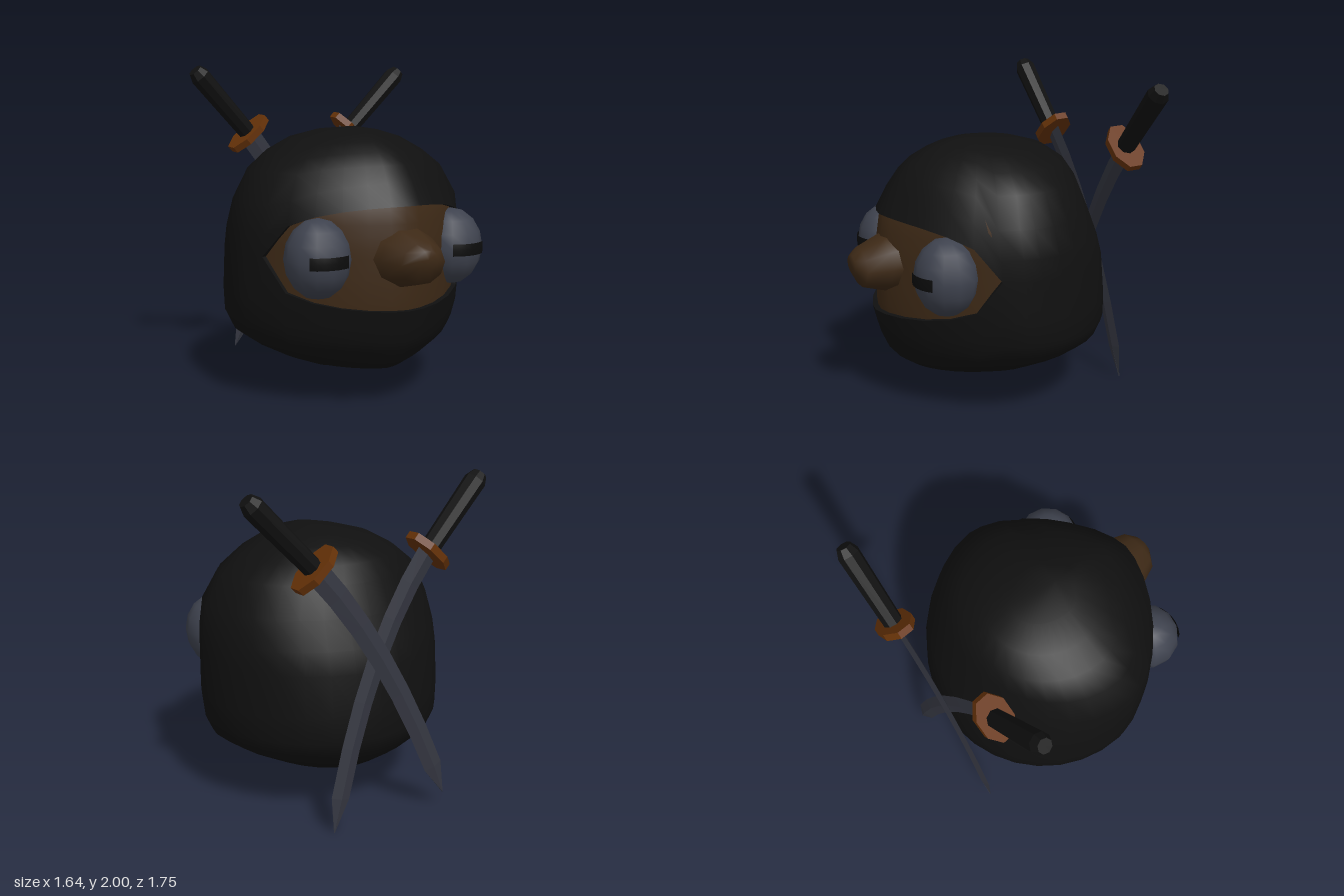
import * as THREE from 'three';
import { mergeVertices, mergeGeometries } from 'three/addons/utils/BufferGeometryUtils.js';

const CX = -0.06; // the head sits slightly off centre
const mat = (color, extra = {}) => new THREE.MeshStandardMaterial({ color, roughness: 0.9, ...extra });

// Surface through a grid of points: fn(row, column) returns [x, y, z]
function grid(rows, cols, fn) {
  const pos = [], index = [];
  for (let i = 0; i <= rows; i++) for (let j = 0; j <= cols; j++) pos.push(...fn(i, j));
  for (let i = 0; i < rows; i++) {
    for (let j = 0; j < cols; j++) {
      const a = i * (cols + 1) + j, b = a + cols + 1;
      index.push(a, b, b + 1, a, b + 1, a + 1);
    }
  }
  const g = new THREE.BufferGeometry();
  g.setAttribute('position', new THREE.Float32BufferAttribute(pos, 3));
  g.setIndex(index);
  return g;
}

function smooth(...geos) {
  const g = mergeVertices(geos.length > 1 ? mergeGeometries(geos) : geos[0], 1e-4);
  g.computeVertexNormals();
  return g;
}

function part(name, geometry, material) {
  const m = new THREE.Mesh(geometry, material);
  m.name = name;
  return m;
}

// Head outline from crown to chin: height, half width, front z, back z
const HEAD = [
  [1.63, 0, 0.08, 0.08], [1.605, 0.18, 0.26, -0.22], [1.56, 0.35, 0.37, -0.38],
  [1.48, 0.5, 0.5, -0.5], [1.38, 0.63, 0.59, -0.56], [1.2, 0.73, 0.69, -0.63],
  [1.03, 0.76, 0.72, -0.7], [0.9, 0.765, 0.73, -0.74], [0.6, 0.77, 0.73, -0.77],
  [0.45, 0.75, 0.69, -0.77], [0.36, 0.68, 0.66, -0.71], [0.25, 0.47, 0.56, -0.57],
  [0.17, 0.31, 0.42, -0.42], [0.13, 0, -0.1, -0.1],
];
const COLS = 32, OPEN = 6, MID = 7, LAST = HEAD.length - 1;

// Point on the head: u runs down the outline, column c runs round from the front
function headPoint(u, c, inset = 1) {
  const i = Math.min(Math.floor(u), LAST - 1), f = u - i;
  const [y, w, zf, zb] = HEAD[i].map((v, k) => v + (HEAD[i + 1][k] - v) * f);
  const a = (c / COLS) * Math.PI * 2, s = Math.sin(a), k = Math.cos(a);
  const e = k > 0 ? 1.25 : 1; // the front is a little pointed
  const zc = (zf + zb) / 2, d = (zf - zb) / 2;
  return [
    CX + Math.sign(s) * Math.abs(s) ** e * w * inset,
    y,
    zc + Math.sign(k) * Math.abs(k) ** e * d * inset,
  ];
}

// How far the face opening spreads at a column
const spread = (c) => Math.max(0, 1 - (Math.abs(c) / OPEN) ** 2.5) ** 0.4;
const topEdge = (c) => MID - 2 * spread(c);
const lowEdge = (c) => MID + spread(c);

function createHead() {
  const g = new THREE.Group();
  g.name = 'head';
  const half = COLS / 2, R = 7;
  const hood = mat(0x101010, { side: THREE.DoubleSide });
  g.add(part('hood', smooth(
    grid(R, COLS, (i, j) => headPoint(topEdge(j - half) * i / R, j - half)),
    grid(R, COLS, (i, j) => {
      const e = lowEdge(j - half);
      return headPoint(e + (LAST - e) * i / R, j - half);
    }),
  ), hood));
  // Turned-in edge of the opening
  for (const [name, edge] of [['upperRim', topEdge], ['lowerRim', lowEdge]]) {
    g.add(part(name, smooth(grid(1, OPEN * 2, (i, j) =>
      headPoint(edge(j - OPEN), j - OPEN, i ? 0.94 : 1))), hood));
  }
  const skin = mat(0x3d2916);
  g.add(part('face', smooth(grid(8, 14, (i, j) =>
    headPoint(4.7 + 3.6 * i / 8, j - 7, 0.96))), skin));

  // Nose: z, half width, bottom, top
  const nose = [[0.58, 0.23, 0.72, 1.1], [0.69, 0.2, 0.73, 1.07], [0.83, 0.15, 0.77, 1.01],
    [0.88, 0.07, 0.86, 0.97], [0.885, 0, 0.92, 0.92]];
  g.add(part('nose', smooth(grid(4, 10, (i, j) => {
    const [z, w, lo, hi] = nose[i], a = (j % 10) / 10 * Math.PI * 2;
    return [CX + 0.01 + w * Math.cos(a), (lo + hi) / 2 - (hi - lo) / 2 * Math.sin(a), z];
  })), skin));

  // Bulging eyes with slit pupils
  for (const s of [-1, 1]) {
    const eye = new THREE.Group();
    eye.name = s > 0 ? 'leftEye' : 'rightEye';
    eye.position.set(CX + s * 0.46, 0.905, 0.46);
    eye.scale.set(0.2, 0.235, 0.195);
    eye.add(part('eyeball', new THREE.SphereGeometry(1, 12, 8), mat(0x3e424e)));
    const slit = part('pupil', new THREE.SphereGeometry(1.03, 6, 1,
      Math.PI / 2 - 0.62, 1.24, Math.PI / 2 - 0.15, 0.3), mat(0x0c0c0c, { side: THREE.DoubleSide }));
    slit.rotation.y = s * 0.1;
    eye.add(slit);
    g.add(eye);
  }
  return g;
}

// Curved sword from pommel through guard to tip
function createSword(name, pommel, guard, bend, tip) {
  const g = new THREE.Group();
  g.name = name;
  const P = new THREE.Vector3(...pommel), G = new THREE.Vector3(...guard);
  const dir = P.clone().sub(G), len = dir.length();

  const hilt = new THREE.Group();
  hilt.name = 'hilt';
  hilt.position.copy(G);
  hilt.quaternion.setFromUnitVectors(new THREE.Vector3(0, 1, 0), dir.normalize());
  const profile = [[0.058, 0], [0.066, len - 0.05], [0.045, len], [0, len]]
    .map(([x, y]) => new THREE.Vector2(x, y));
  hilt.add(part('grip', new THREE.LatheGeometry(profile, 8),
    mat(0x101010, { flatShading: true, side: THREE.DoubleSide })));
  const plate = new THREE.CylinderGeometry(1, 1, 0.045, 8);
  plate.rotateY(Math.PI / 8);
  plate.scale(0.165, 1, 0.11);
  hilt.add(part('guard', plate, mat(0x663208, { flatShading: true })));
  g.add(hilt);

  // Diamond cross-sections swept along the curve
  const curve = new THREE.QuadraticBezierCurve3(G, new THREE.Vector3(...bend), new THREE.Vector3(...tip));
  const steps = [0, 0.15, 0.3, 0.45, 0.6, 0.75, 0.9, 1];
  const blade = grid(steps.length - 1, 4, (i, j) => {
    const p = curve.getPoint(steps[i]), t = curve.getTangent(steps[i]);
    const w = i === steps.length - 1 ? 0.003 : 0.072 - 0.012 * steps[i];
    const a = -j * Math.PI / 2, n = Math.cos(a) * w, d = Math.sin(a) * (w > 0.01 ? 0.016 : 0.003);
    return [p.x - t.y * n, p.y + t.x * n, p.z + d];
  });
  blade.computeVertexNormals();
  g.add(part('blade', blade, mat(0x33353f, { flatShading: true, side: THREE.DoubleSide })));
  return g;
}

export function createModel() {
  const model = new THREE.Group();
  model.name = 'hoodedHead';
  model.add(createHead());
  model.add(createSword('leftSword', [0.78, 1.96, -0.72], [0.39, 1.555, -0.75], [-0.11, 1.01, -0.79], [-0.45, 0.09, -0.86]));
  model.add(createSword('rightSword', [-0.78, 1.965, -0.67], [-0.40, 1.555, -0.70], [0.07, 1.02, -0.755], [0.3, 0.0, -0.83]));
  return model;
}
